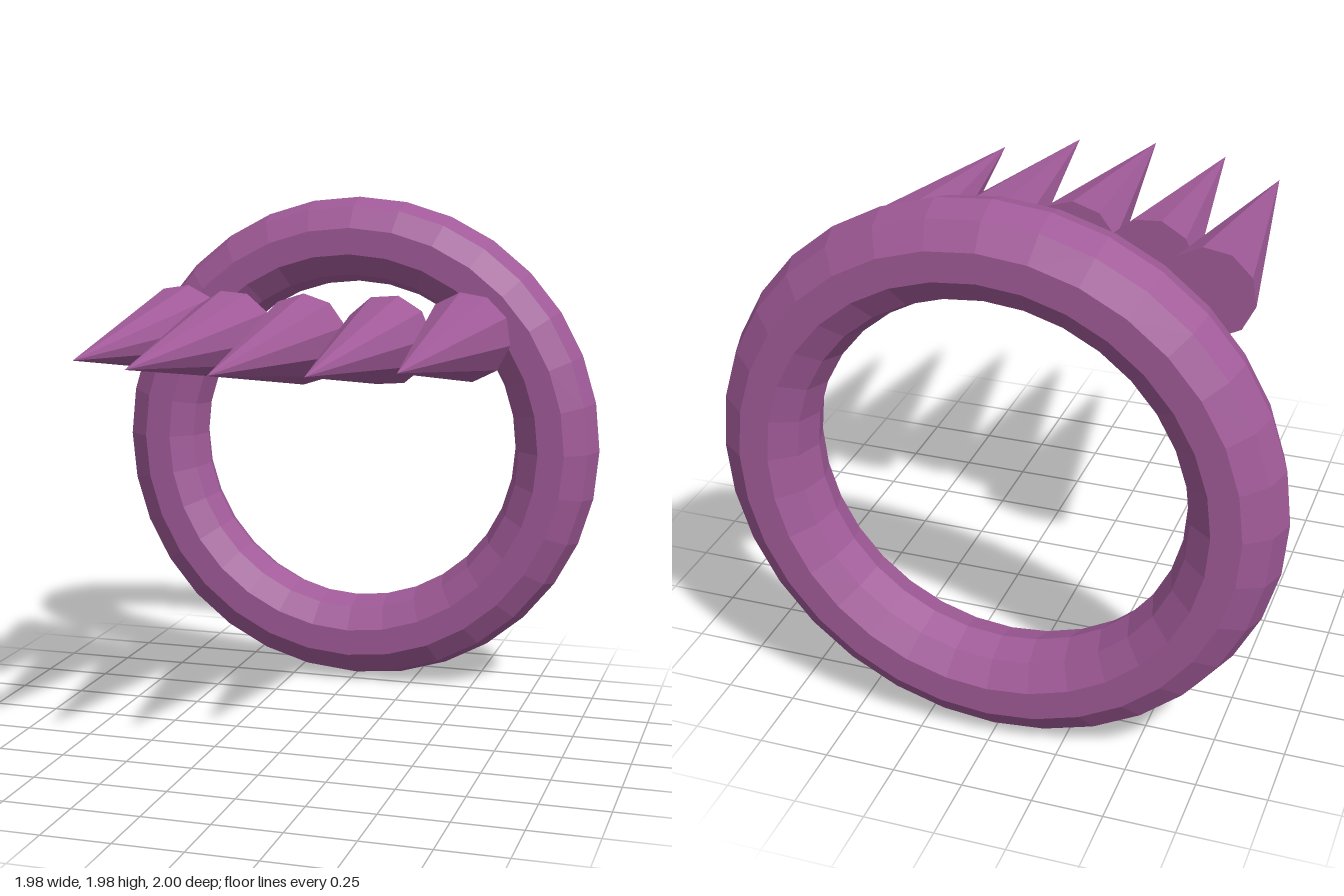
import * as THREE from 'three';

export function createModel() {
  const model = new THREE.Group();
  model.name = 'ringWithSpikes';
  const material = new THREE.MeshStandardMaterial({ color: 0xa05a98, flatShading: true });

  // Upright faceted ring at the back
  const ring = new THREE.Mesh(new THREE.TorusGeometry(0.82, 0.168, 10, 32), material);
  ring.name = 'ring';
  ring.position.set(0, 0.988, -0.84);
  model.add(ring);

  // Five forward-pointing spikes set along an arc, each spun about its own axis
  const spikes = new THREE.Group();
  spikes.name = 'spikes';
  const length = 1.058, arcRadius = 0.79;
  const spikeGeometry = new THREE.ConeGeometry(0.168, length, 10);
  spikeGeometry.rotateX(Math.PI / 2);
  for (let i = -2; i <= 2; i++) {
    const angle = i * Math.PI / 8;
    const spike = new THREE.Mesh(spikeGeometry, material);
    spike.name = `spike${i + 3}`;
    spike.position.set(
      arcRadius * Math.sin(angle),
      1.488,
      1 - length / 2 - arcRadius * (1 - Math.cos(angle))
    );
    spike.rotation.z = angle;
    spikes.add(spike);
  }
  model.add(spikes);

  return model;
}
